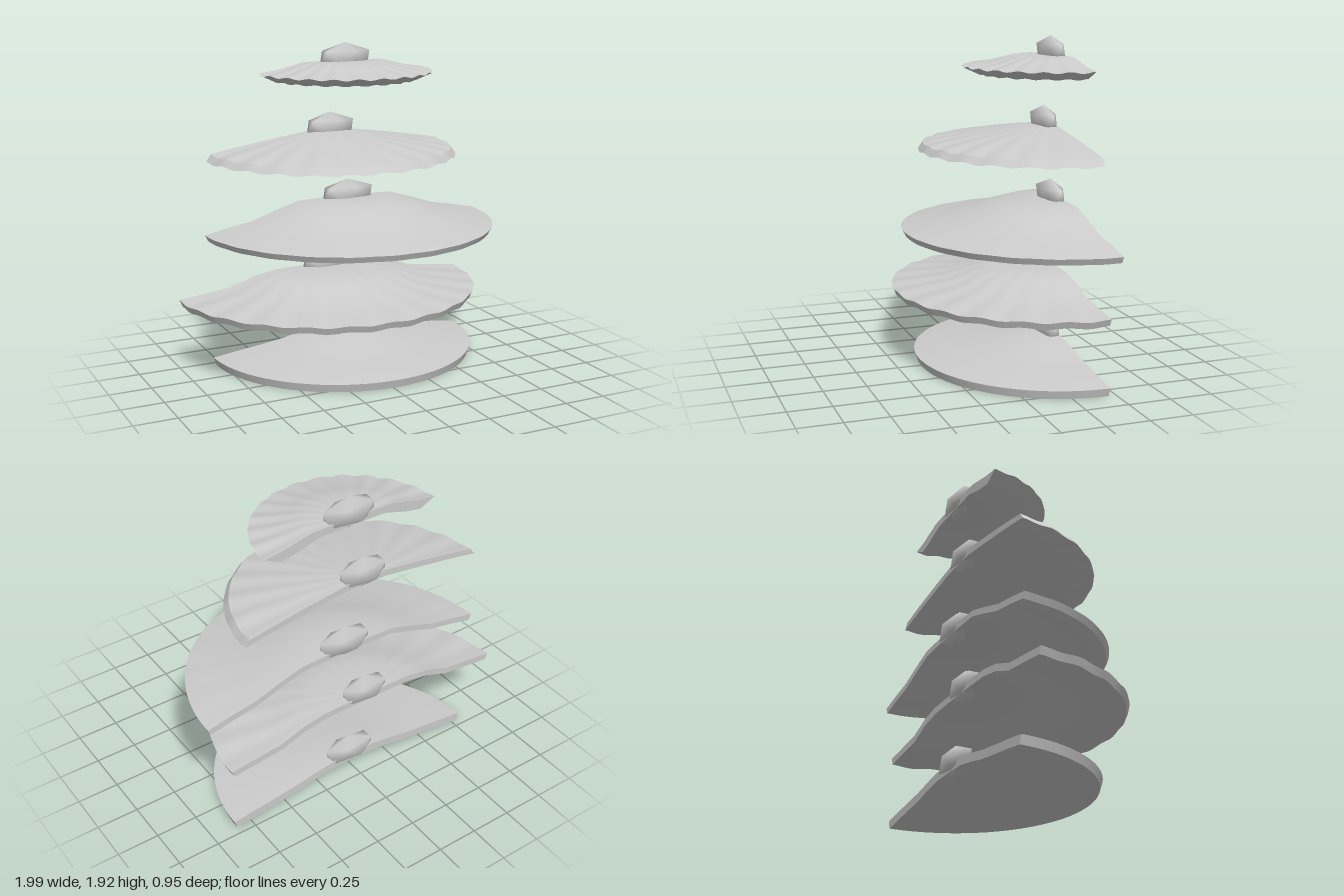
import * as THREE from 'three';
import { mergeVertices } from 'three/addons/utils/BufferGeometryUtils.js';

const BACK = -0.455, STEPS = 96;

// x: centre, wave: rim ripple height, knob: knob half width,
// top: upper profile as [radius, height], lip: lower corner of the rim
const TIERS = [
  { x: 0.03, wave: 0, knob: 0.185, lip: [0.815, 0.003],
    top: [[0, 0.152], [0.15, 0.15], [0.27, 0.132], [0.4, 0.107], [0.55, 0.087], [0.7, 0.07], [0.83, 0.052]] },
  { x: -0.07, wave: 0.005, knob: 0.172, lip: [0.915, 0.397],
    top: [[0, 0.56], [0.15, 0.56], [0.31, 0.556], [0.45, 0.532], [0.6, 0.478], [0.78, 0.456], [0.932, 0.437]] },
  { x: 0.08, wave: 0.001, knob: 0.188, lip: [0.895, 0.779],
    top: [[0, 0.975], [0.15, 0.975], [0.31, 0.97], [0.46, 0.925], [0.62, 0.872], [0.76, 0.848], [0.913, 0.815]] },
  { x: -0.035, wave: 0.005, knob: 0.172, lip: [0.777, 1.253],
    top: [[0, 1.397], [0.12, 1.395], [0.3, 1.37], [0.47, 1.344], [0.62, 1.318], [0.748, 1.293]] },
  { x: 0.065, wave: 0.005, knob: 0.185, lip: [0.45, 1.702],
    top: [[0, 1.81], [0.15, 1.81], [0.26, 1.807], [0.35, 1.785], [0.43, 1.765], [0.546, 1.747]] },
];

// Surface through rows of points
function surface(rows) {
  const n = rows[0].length, index = [];
  for (let i = 0; i < rows.length - 1; i++) {
    for (let j = 0; j < n - 1; j++) {
      const a = i * n + j, c = a + n;
      index.push(a, a + 1, c, a + 1, c + 1, c);
    }
  }
  const g = new THREE.BufferGeometry();
  g.setAttribute('position', new THREE.Float32BufferAttribute(rows.flat(2), 3));
  g.setIndex(index);
  g.computeVertexNormals();
  return g;
}

function makeTier(t, material) {
  const tier = new THREE.Group();
  const add = (name, geometry) => {
    const mesh = new THREE.Mesh(geometry, material);
    mesh.name = name;
    tier.add(mesh);
  };
  const [R, rimY] = t.top[t.top.length - 1];
  const point = (r, y, a) => [
    t.x + r * Math.cos(a),
    y + t.wave * (r / R) ** 2 * Math.cos(24 * a),
    BACK + r * Math.sin(a),
  ];
  const sweep = (profile) => surface(profile.map(([r, y]) =>
    Array.from({ length: STEPS + 1 }, (_, j) => point(r, y, Math.PI * j / STEPS))));

  // Underside repeats the upper profile, lowered by the thickness
  const under = t.top.map(([r, y]) => [r * t.lip[0] / R, y - (rimY - t.lip[1])]);
  add('shellTop', sweep(t.top));
  add('shellRim', sweep([[R, rimY], t.lip]));
  add('shellUnderside', sweep([...under].reverse()));

  // Flat cut edge at the back
  const acrossBack = (p) => [
    ...[...p].reverse().map(([r, y]) => point(r, y, Math.PI)),
    ...p.slice(1).map(([r, y]) => point(r, y, 0)),
  ];
  add('backEdge', surface([acrossBack(t.top), acrossBack(under)]));

  // Smooth-shaded knob with one corner pointing up
  let knob = new THREE.IcosahedronGeometry(1, 0);
  knob.deleteAttribute('normal');
  knob.deleteAttribute('uv');
  knob = mergeVertices(knob, 1e-3);
  knob.rotateZ(-Math.atan2(2, 1 + Math.sqrt(5)));
  knob.scale(t.knob, 0.094, 0.067);
  knob.translate(t.x, t.top[0][1] + 0.018, -0.418);
  knob.computeVertexNormals();
  add('knob', knob);
  return tier;
}

export function createModel() {
  const model = new THREE.Group();
  const grey = new THREE.MeshStandardMaterial({ color: 0xcccccc });
  grey.name = 'light grey';
  TIERS.forEach((t, i) => {
    const tier = makeTier(t, grey);
    tier.name = `tier${i + 1}`;
    model.add(tier);
  });
  return model;
}
